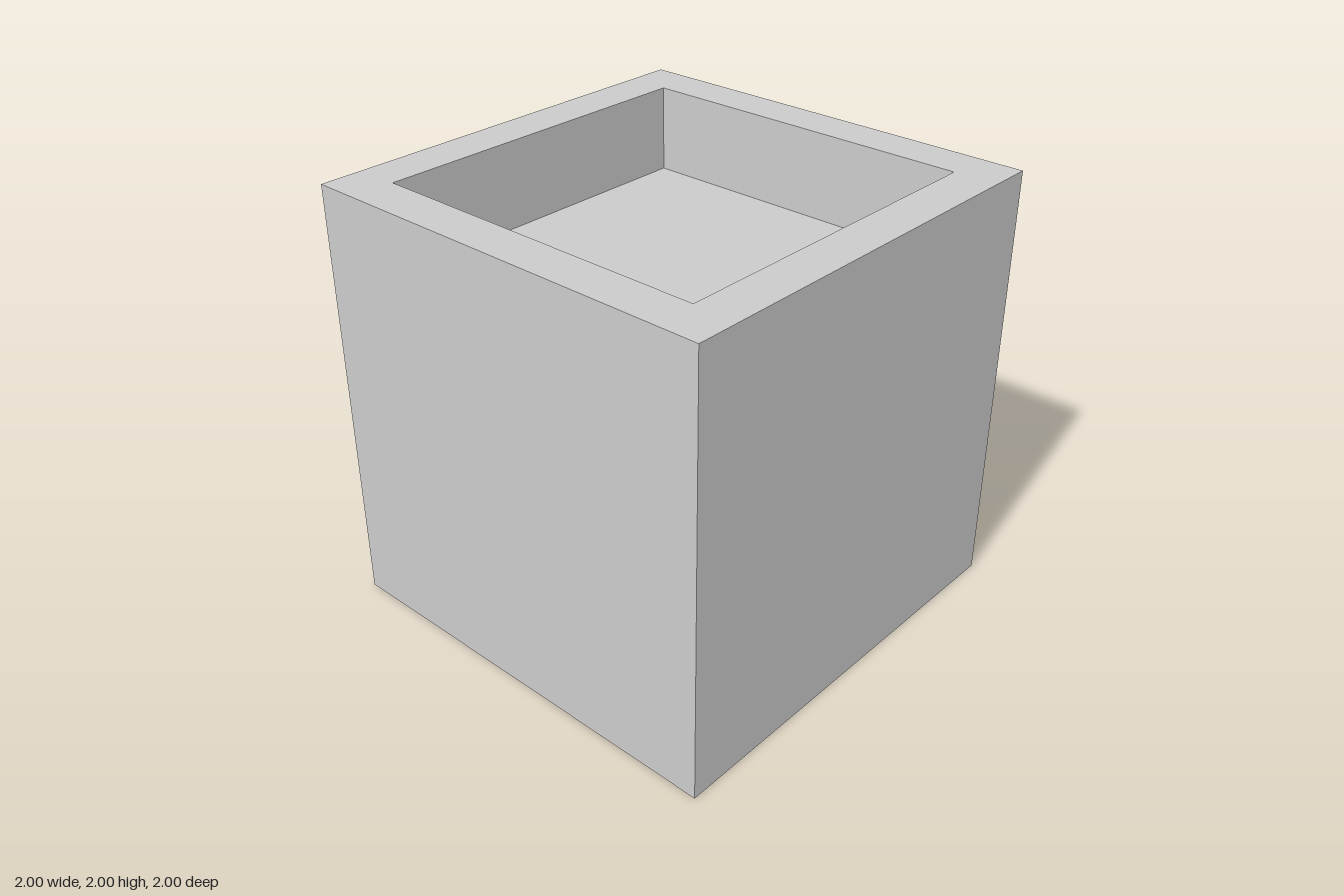
import * as THREE from 'three';

const SIZE = 2;      // outer edge length
const WALL = 0.2;    // rim thickness
const DEPTH = 0.4;   // depth of the square recess

export function createModel() {
  const group = new THREE.Group();
  group.name = 'planterBox';

  // Half cross-section: underside, outer wall, rim, recess wall, recess floor
  const half = SIZE / 2;
  const inner = half - WALL;
  const floorY = SIZE - DEPTH;
  const profile = [
    [0, 0], [half, 0], [half, SIZE], [inner, SIZE], [inner, floorY], [0, floorY],
  ].map(([x, y]) => new THREE.Vector2(x * Math.SQRT2, y));

  // Four-sided turn, started at 45 degrees so the sides face the axes
  const geometry = new THREE.LatheGeometry(profile, 4, Math.PI / 4);
  const material = new THREE.MeshStandardMaterial({ color: 0xcccccc, flatShading: true });
  const body = new THREE.Mesh(geometry, material);
  body.name = 'recessedCube';
  group.add(body);

  return group;
}
